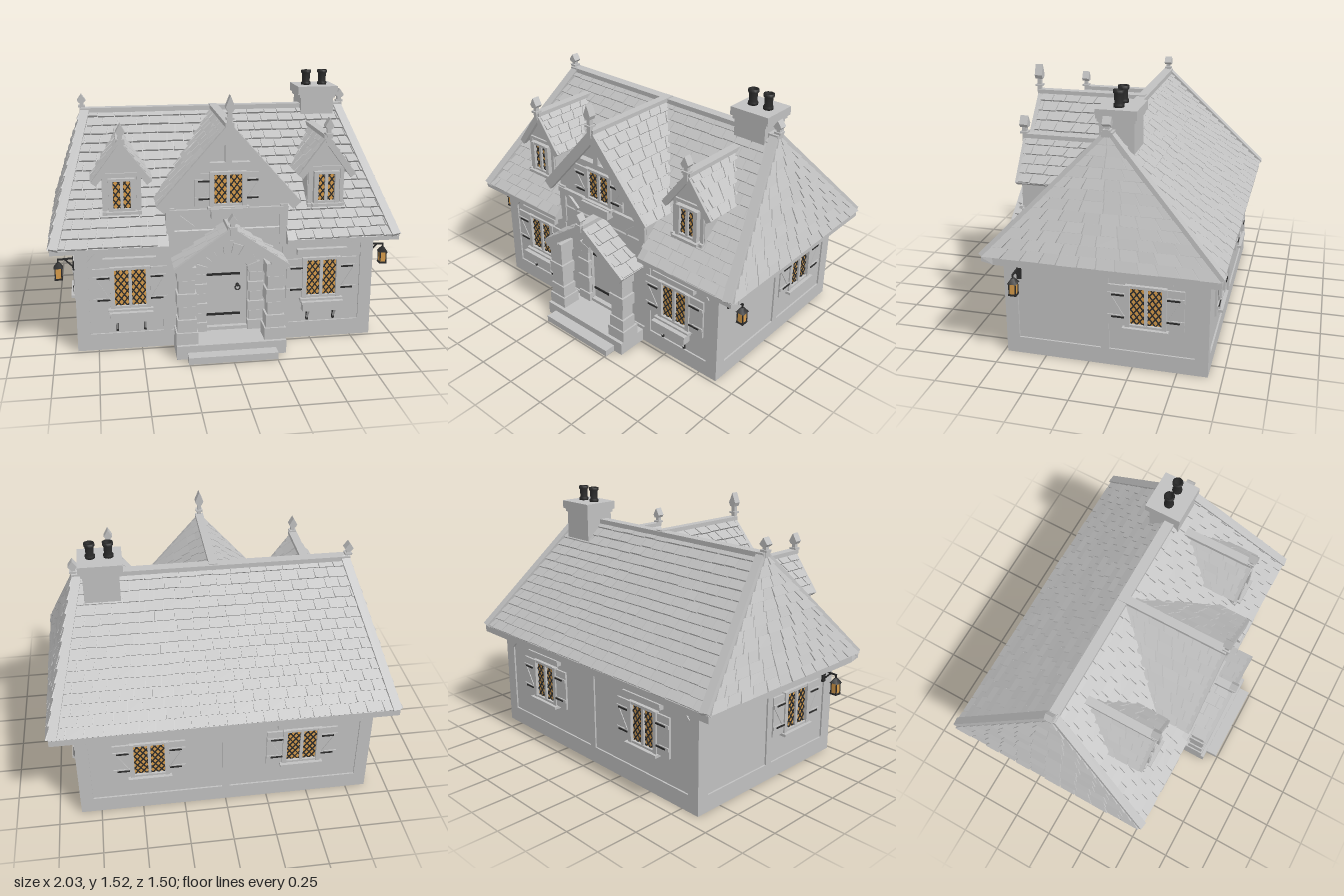
import * as THREE from 'three';
import { mergeGeometries } from 'three/addons/utils/BufferGeometryUtils.js';
import { ConvexGeometry } from 'three/addons/geometries/ConvexGeometry.js';

const material = (name, color) => Object.assign(new THREE.MeshStandardMaterial({ color }), { name });
const stone = material('grey stone', 0xc0c0c0);
const iron = material('black iron', 0x2b2b2b);
const amber = material('amber glass', 0xd79c4a);

const V = (x, y, z) => new THREE.Vector3(x, y, z);
let seed = 7;
const rand = () => (seed = (seed * 16807) % 2147483647) / 2147483647;

function add(parent, name, geo, mat = stone, x = 0, y = 0, z = 0) {
  const m = new THREE.Mesh(geo, mat);
  m.name = name;
  m.position.set(x, y, z);
  parent.add(m);
  return m;
}
const box = (p, name, w, h, d, x, y, z, mat = stone) => add(p, name, new THREE.BoxGeometry(w, h, d), mat, x, y, z);
function group(parent, name) {
  const g = new THREE.Group();
  g.name = name;
  parent.add(g);
  return g;
}

// Straight bar from a to b, its depth turned towards "facing"
function beam(a, b, w, d, facing = V(0, 0, 1)) {
  const y = b.clone().sub(a), len = y.length();
  y.normalize();
  const x = y.clone().cross(facing).normalize(), z = x.clone().cross(y);
  const mid = a.clone().add(b).multiplyScalar(0.5);
  return new THREE.BoxGeometry(w, len, d).applyMatrix4(new THREE.Matrix4().makeBasis(x, y, z).setPosition(mid));
}
// Six-sided block between two matching quads
function hexa(lo, hi) {
  const p = [], quad = (a, b, c, d) => [a, b, c, a, c, d].forEach(v => p.push(v.x, v.y, v.z));
  quad(...hi);
  quad(lo[3], lo[2], lo[1], lo[0]);
  for (let i = 0; i < 4; i++) { const j = (i + 1) % 4; quad(lo[i], lo[j], hi[j], hi[i]); }
  const g = new THREE.BufferGeometry();
  g.setAttribute('position', new THREE.Float32BufferAttribute(p, 3));
  g.computeVertexNormals();
  return g;
}
const extrude = (shape, depth) => new THREE.ExtrudeGeometry(shape, { depth, bevelEnabled: false, curveSegments: 16 });
const polygon = pts => new THREE.Shape(pts.map(p => new THREE.Vector2(...p)));
const normalOf = ([bl, br, tl]) => br.clone().sub(bl).cross(tl.clone().sub(bl)).normalize();

// Overlapping staggered tiles over a sloping quad
function tiles(parent, name, quad, rows, width, skip = () => false) {
  const [bl, br, tl, tr] = quad, n = normalOf(quad), parts = [];
  const at = (u, t) => bl.clone().lerp(tl, t).lerp(br.clone().lerp(tr, t), u);
  for (let r = 0; r < rows; r++) {
    const t0 = r / rows, t1 = (r + 1) / rows, len = at(0, t0).distanceTo(at(1, t0));
    const count = Math.max(1, Math.round(len / width)), gap = 0.003 / len;
    const cuts = [0];
    for (let i = 0; i < count; i++) cuts.push((i + (r % 2 ? 0.5 : 0.98) + (rand() - 0.5) * 0.25) / count);
    cuts.push(1);
    for (let i = 0; i + 1 < cuts.length; i++) {
      const u0 = Math.min(cuts[i] + gap, 1), u1 = Math.min(cuts[i + 1] - gap, 1);
      if (u1 - u0 < gap * 2 || skip(at((u0 + u1) / 2, t0))) continue;
      const drop = rand() * 0.08 / rows, lift = 0.013 + rand() * 0.005;
      const lo = [at(u0, t0 + drop), at(u1, t0 + drop), at(u1, t1), at(u0, t1)];
      parts.push(hexa(lo, lo.map((v, k) => v.clone().addScaledVector(n, k < 2 ? lift : 0.004))));
    }
  }
  add(parent, name, mergeGeometries(parts));
}

// Spear-shaped roof ornament
function finial(parent, x, y, z, h) {
  const g = group(parent, 'finial');
  g.position.set(x, y, z);
  box(g, 'finialStem', 0.024, h * 0.62, 0.024, 0, h * 0.31, 0);
  box(g, 'finialCollar', 0.042, 0.012, 0.042, 0, h * 0.36, 0);
  const head = polygon([[-0.014, h * 0.56], [0.014, h * 0.56], [0.026, h * 0.68], [0, h], [-0.026, h * 0.68]]);
  add(g, 'finialHead', extrude(head, 0.046), stone, 0, 0, -0.023);
}

// Small gabled roof: two tiled slopes, ridge, bargeboards, finial
function gableRoof(parent, name, cx, ridge, half, eave, zf, back, rows, board, finialH) {
  const g = group(parent, name);
  for (const s of [1, -1]) {
    const f0 = V(cx + s * half, eave, zf), b0 = V(cx + s * half, eave, back(eave));
    const f1 = V(cx, ridge, zf), b1 = V(cx, ridge, back(ridge));
    const q = s > 0 ? [f0, b0, f1, b1] : [b0, f0, b1, f1], n = normalOf(q);
    const hi = [q[0], q[1], q[3], q[2]];
    add(g, 'roofSlab', hexa(hi.map(v => v.clone().addScaledVector(n, -0.022)), hi));
    tiles(g, 'roofTiles', q, rows, 0.085);
    const inset = v => v.clone().addScaledVector(n, -board * 0.3).setZ(zf);
    add(g, 'bargeboard', beam(inset(f0), inset(f1), board, 0.026));
  }
  const zb = back(ridge);
  box(g, 'ridgeCap', 0.05, 0.024, zf - zb + 0.012, cx, ridge + 0.006, (zf + zb) / 2 + 0.006);
  finial(g, cx, ridge - 0.03, zf + 0.008, finialH);
}

// Flower box; iron brackets are optional
function planter(parent, x, y, w, brackets) {
  const g = group(parent, 'planter');
  g.position.set(x, y, 0);
  box(g, 'planterBox', w, 0.05, 0.05, 0, 0, 0.04);
  box(g, 'planterRim', w + 0.015, 0.014, 0.06, 0, 0.027, 0.04);
  for (const s of brackets ? [-1, 1] : []) {
    box(g, 'bracketUpright', 0.014, 0.07, 0.012, s * w * 0.34, -0.06, 0.016, iron);
    add(g, 'bracketStrut', beam(V(s * w * 0.34, -0.085, 0.015), V(s * w * 0.34, -0.025, 0.055), 0.01, 0.008));
  }
}

// Leaded window facing +z, centred on its own origin
function windowUnit(parent, x, y, z, w, h, shutterW = 0, lintel = true) {
  const g = group(parent, 'window');
  g.position.set(x, y, z);
  box(g, 'pane', w, h, 0.008, 0, 0, -0.004, amber);
  const bars = [], m = 1.3;
  for (const s of [-1, 1]) for (let c = -0.315; c < 0.32; c += 0.045) {
    const e = [(-h / 2 - c) / (s * m), (h / 2 - c) / (s * m)].sort((a, b) => a - b);
    const x0 = Math.max(-w / 2, e[0]), x1 = Math.min(w / 2, e[1]);
    if (x1 - x0 > 0.005) bars.push(beam(V(x0, s * m * x0 + c, 0.002), V(x1, s * m * x1 + c, 0.002), 0.0065, 0.005));
  }
  add(g, 'lattice', mergeGeometries(bars), iron);
  for (const s of [-1, 1]) {
    box(g, 'frameSide', 0.026, h + 0.03, 0.032, s * (w / 2 + 0.012), 0, 0.006);
    box(g, 'frameRail', w + 0.03, 0.016, 0.026, 0, s * (h / 2 + 0.007), 0.005);
    if (!shutterW) continue;
    const sh = group(g, 'shutter'), xi = w / 2 + 0.026;
    const sx = s * (xi + shutterW / 2), sh2 = h + 0.02;
    box(sh, 'shutterBoard', shutterW, sh2, 0.012, sx, 0, 0.008);
    for (const k of [-1, 1]) {
      box(sh, 'shutterRail', shutterW, 0.02, 0.008, sx, k * h * 0.3, 0.017);
      box(sh, 'shutterHinge', shutterW * 0.75, 0.009, 0.006, s * (xi + shutterW * 0.38), k * h * 0.3, 0.023, iron);
    }
    add(sh, 'shutterBrace', beam(V(s * (xi + shutterW - 0.01), h * 0.28, 0.015), V(s * (xi + 0.01), -h * 0.28, 0.015), 0.016, 0.008));
  }
  box(g, 'mullion', 0.018, h, 0.02, 0, 0, 0.006);
  box(g, 'sill', w + 0.075, 0.016, 0.05, 0, -h / 2 - 0.02, 0.014);
  if (lintel) box(g, 'lintel', w + 0.12, 0.034, 0.035, 0, h / 2 + 0.055, 0.01);
}

const archPath = (P, half, y0, y1) => {
  const p = new P();
  p.moveTo(-half, y0); p.lineTo(half, y0); p.lineTo(half, y1);
  p.absarc(0, y1, half, 0, Math.PI, false);
  p.lineTo(-half, y0);
  return p;
};

// Timbered hollow walls with plinth and windows
function walls(root) {
  const faces = [
    ['front', 1.72, 0, 0.47, 0, [-0.56, 0.56], [-0.35, 0.35]],
    ['back', 1.72, 0, -0.66, Math.PI, [-0.45, 0.45], [0]],
    ['leftSide', 1.13, 0.86, -0.095, Math.PI / 2, [0.23], [0]],
    ['rightSide', 1.13, -0.86, -0.095, -Math.PI / 2, [0.23], [0]],
  ];
  for (const [name, w, x, z, rot, wins, posts] of faces) {
    const g = group(root, name + 'Wall'), s = polygon([[-w / 2, 0], [w / 2, 0], [w / 2, 0.62], [-w / 2, 0.62]]);
    g.position.set(x, 0, z);
    g.rotation.y = rot;
    for (const c of wins) {
      s.holes.push(new THREE.Path([[-0.09, 0.27], [-0.09, 0.49], [0.09, 0.49], [0.09, 0.27]].map(p => new THREE.Vector2(p[0] + c, p[1]))));
      windowUnit(g, c, 0.38, 0.004, 0.18, 0.22, 0.095);
      if (name === 'front') planter(g, c, 0.212, 0.235, true);
    }
    if (name === 'front') s.holes.push(archPath(THREE.Path, 0.12, 0.08, 0.44));
    add(g, 'wallPanel', extrude(s, 0.08), stone, 0, 0, -0.08);
    box(g, 'plinth', w + 0.02, 0.1, 0.1, 0, 0.05, -0.04);
    box(g, 'topBeam', w + 0.02, 0.03, 0.02, 0, 0.595, 0);
    for (const k of [-1, 1]) {
      box(g, 'cornerPost', 0.075, 0.52, 0.02, k * (w / 2 - 0.0275), 0.35, 0);
      add(g, 'kneeBrace', beam(V(k * (w / 2 - 0.06), 0.53, 0.006), V(k * (w / 2 - 0.12), 0.595, 0.006), 0.018, 0.02));
    }
    for (const p of posts) box(g, 'post', 0.045, 0.52, 0.02, p, 0.35, 0);
  }
}

// Main roof: steep hipped ends, eaves broken by the central gable
const roofZ = y => 0.55 - (y - 0.64) * 0.97;
function mainRoof(root) {
  const g = group(root, 'mainRoof'), core = [];
  for (const s of [-1, 1]) {
    core.push(V(s, 0.6, -0.74), V(s, 0.64, -0.74), V(s * 0.8, 1.31, -0.1), V(s * 0.982, 0.702, 0.486), V(s, 0.6, 0.486), V(s, 0.64, 0.486));
    const eave = [];
    for (const [a, b] of [[0.34, 0.34], [1, 0.982]])
      eave.push(V(s * a, 0.6, 0.48), V(s * a, 0.615, 0.55), V(s * a, 0.64, 0.55), V(s * b, 0.705, 0.484));
    add(g, 'frontEave', new ConvexGeometry(eave));
  }
  add(g, 'roofCore', new ConvexGeometry(core));
  const fl = V(-1, 0.64, 0.55), fr = V(1, 0.64, 0.55), kl = V(-1, 0.64, -0.74), kr = V(1, 0.64, -0.74);
  const tl = V(-0.8, 1.31, -0.1), tr = V(0.8, 1.31, -0.1);
  tiles(g, 'frontTiles', [fl, fr, tl, tr], 15, 0.1, p => Math.abs(p.x) < 0.36 && p.y < 0.75);
  tiles(g, 'backTiles', [kr, kl, tr, tl], 15, 0.1);
  tiles(g, 'leftEndTiles', [fr, kr, tr, tr], 12, 0.11);
  tiles(g, 'rightEndTiles', [kl, fl, tl, tl], 12, 0.11);
  for (const [a, b, f] of [[fl, tl, 1], [fr, tr, 1], [kl, tl, -1], [kr, tr, -1]]) {
    const inset = V(-Math.sign(a.x) * 0.022, 0, 0);
    add(g, 'hipBoard', beam(a.clone().add(inset), b.clone().add(inset), 0.05, 0.046, V(0, 0.7, 0.7 * f)));
  }
  box(g, 'ridgeBoard', 1.62, 0.028, 0.06, 0, 1.308, -0.1);
  for (const s of [-1, 1]) finial(g, s * 0.8, 1.29, -0.1, 0.115);
}

// Central front gable and the two small dormers
function gables(root) {
  const c = group(root, 'centralGable');
  add(c, 'gableBody', extrude(polygon([[-0.35, 0.6], [0.35, 0.6], [0.35, 0.89], [0, 1.285], [-0.35, 0.89]]), 0.57), stone, 0, 0, -0.09);
  gableRoof(c, 'gableRoof', 0, 1.31, 0.4, 0.86, 0.54, y => roofZ(y) - 0.02, 9, 0.06, 0.2);
  box(c, 'kingPost', 0.036, 0.2, 0.04, 0, 1.19, 0.5);
  box(c, 'collarBeam', 0.34, 0.032, 0.04, 0, 1.085, 0.5);
  box(c, 'tieBeam', 0.7, 0.03, 0.03, 0, 0.815, 0.485);
  for (const s of [-1, 1]) {
    box(c, 'gablePost', 0.045, 0.24, 0.024, s * 0.325, 0.72, 0.482);
    add(c, 'gableBrace', beam(V(s * 0.2, 0.72, 0.485), V(s * 0.31, 0.81, 0.485), 0.03, 0.02));
  }
  windowUnit(c, 0, 0.945, 0.49, 0.16, 0.17, 0.085, false);
  const pl = group(c, 'gablePlanter');
  pl.position.z = 0.475;
  planter(pl, 0, 0.808, 0.2, false);
  for (const s of [-1, 1]) {
    const d = group(root, 'dormer'), x = s * 0.59;
    add(d, 'dormerBody', extrude(polygon([[-0.11, 0.76], [0.11, 0.76], [0.11, 1.03], [0, 1.18], [-0.11, 1.03]]), 0.4), stone, x, 0, 0);
    gableRoof(d, 'dormerRoof', x, 1.205, 0.165, 0.985, 0.42, y => roofZ(y) - 0.02, 5, 0.036, 0.145);
    windowUnit(d, x, 0.91, 0.408, 0.1, 0.16, 0, false);
    for (const k of [-1, 1]) box(d, 'dormerPost', 0.022, 0.24, 0.02, x + k * 0.095, 0.9, 0.4);
    box(d, 'dormerCollar', 0.2, 0.018, 0.02, x, 1.025, 0.402);
    box(d, 'dormerApron', 0.22, 0.02, 0.04, x, 0.805, 0.405);
  }
}

// Stack of slightly uneven blocks
function stoneStack(parent, name, x, y0, y1, z, w, d, n) {
  const g = group(parent, name), h = (y1 - y0) / n;
  for (let i = 0; i < n; i++)
    box(g, 'block', w + (i % 2 ? -0.012 : 0.006) + rand() * 0.006, h - 0.004, d + (i % 2 ? -0.008 : 0.004), x, y0 + h * (i + 0.5), z);
}

// Porch, steps and arched door
function porch(root) {
  const g = group(root, 'porch');
  box(g, 'platform', 0.63, 0.08, 0.2, 0, 0.04, 0.57);
  box(g, 'step', 0.51, 0.04, 0.09, 0, 0.02, 0.695);
  gableRoof(g, 'porchRoof', 0, 0.755, 0.32, 0.53, 0.65, () => 0.475, 5, 0.048, 0.12);
  for (const s of [-1, 1]) {
    box(g, 'pedestal', 0.125, 0.07, 0.12, s * 0.253, 0.115, 0.59);
    stoneStack(g, 'column', s * 0.253, 0.15, 0.54, 0.593, 0.1, 0.094, 5);
    box(g, 'porchBeam', 0.06, 0.03, 0.17, s * 0.253, 0.55, 0.565);
    stoneStack(g, 'doorJamb', s * 0.166, 0.08, 0.44, 0.477, 0.085, 0.04, 6);
  }
  // Arch stones
  for (let i = 0; i < 9; i++) {
    const a = i * Math.PI / 9 + 0.012, b = (i + 1) * Math.PI / 9 - 0.012, r = i % 2 ? 0.185 : 0.2;
    const p = (rad, t) => [rad * Math.cos(t), 0.44 + rad * Math.sin(t)];
    add(g, 'archStone', extrude(polygon([p(0.122, a), p(r, a), p(r, b), p(0.122, b)]), 0.035), stone, 0, 0, 0.462);
  }
  const d = group(g, 'door');
  add(d, 'doorLeaf', extrude(archPath(THREE.Shape, 0.12, 0.08, 0.44), 0.03), stone, 0, 0, 0.42);
  for (const y of [0.17, 0.42]) box(d, 'doorHinge', 0.2, 0.013, 0.008, -0.02, y, 0.453, iron);
  add(d, 'doorPlate', new THREE.CylinderGeometry(0.01, 0.01, 0.014, 10).rotateX(Math.PI / 2), iron, 0.065, 0.35, 0.456);
  add(d, 'doorRing', new THREE.TorusGeometry(0.015, 0.004, 6, 14), iron, 0.065, 0.335, 0.46);
}

function chimney(root) {
  const g = group(root, 'chimney');
  box(g, 'chimneyShaft', 0.205, 0.4, 0.19, 0.645, 1.2, -0.135);
  box(g, 'chimneyNeck', 0.225, 0.02, 0.205, 0.645, 1.37, -0.135);
  box(g, 'chimneyCap', 0.25, 0.05, 0.222, 0.645, 1.405, -0.137);
  const profile = [[0, 0], [0.029, 0], [0.029, 0.015], [0.023, 0.02], [0.025, 0.07], [0.031, 0.074], [0.031, 0.09], [0.019, 0.09], [0.018, 0.03], [0, 0.03]];
  const pot = new THREE.LatheGeometry(profile.map(p => new THREE.Vector2(...p)), 14);
  for (const x of [0.594, 0.696]) add(g, 'chimneyPot', pot, iron, x, 1.43, -0.134);
}

function lantern(root, s) {
  const g = group(root, 'lantern'), x = s * 0.963, z = 0.39;
  box(g, 'wallPlate', 0.012, 0.08, 0.026, s * 0.875, 0.51, z, iron);
  add(g, 'arm', beam(V(s * 0.87, 0.54, z), V(x, 0.535, z), 0.009, 0.009), iron);
  add(g, 'armStrut', beam(V(s * 0.875, 0.485, z), V(s * 0.925, 0.535, z), 0.008, 0.008), iron);
  box(g, 'hanger', 0.008, 0.04, 0.008, x, 0.52, z, iron);
  add(g, 'lanternCap', new THREE.CylinderGeometry(0.01, 0.037, 0.03, 4).rotateY(Math.PI / 4), iron, x, 0.502, z);
  box(g, 'lanternGlass', 0.036, 0.066, 0.036, x, 0.455, z, amber);
  box(g, 'lanternBase', 0.046, 0.01, 0.046, x, 0.421, z, iron);
  for (const a of [-1, 1]) for (const b of [-1, 1]) box(g, 'lanternBar', 0.006, 0.07, 0.006, x + a * 0.018, 0.455, z + b * 0.018, iron);
}

export function createModel() {
  const root = new THREE.Group();
  root.name = 'cottage';
  walls(root);
  mainRoof(root);
  gables(root);
  porch(root);
  chimney(root);
  for (const s of [-1, 1]) lantern(root, s);
  return root;
}
